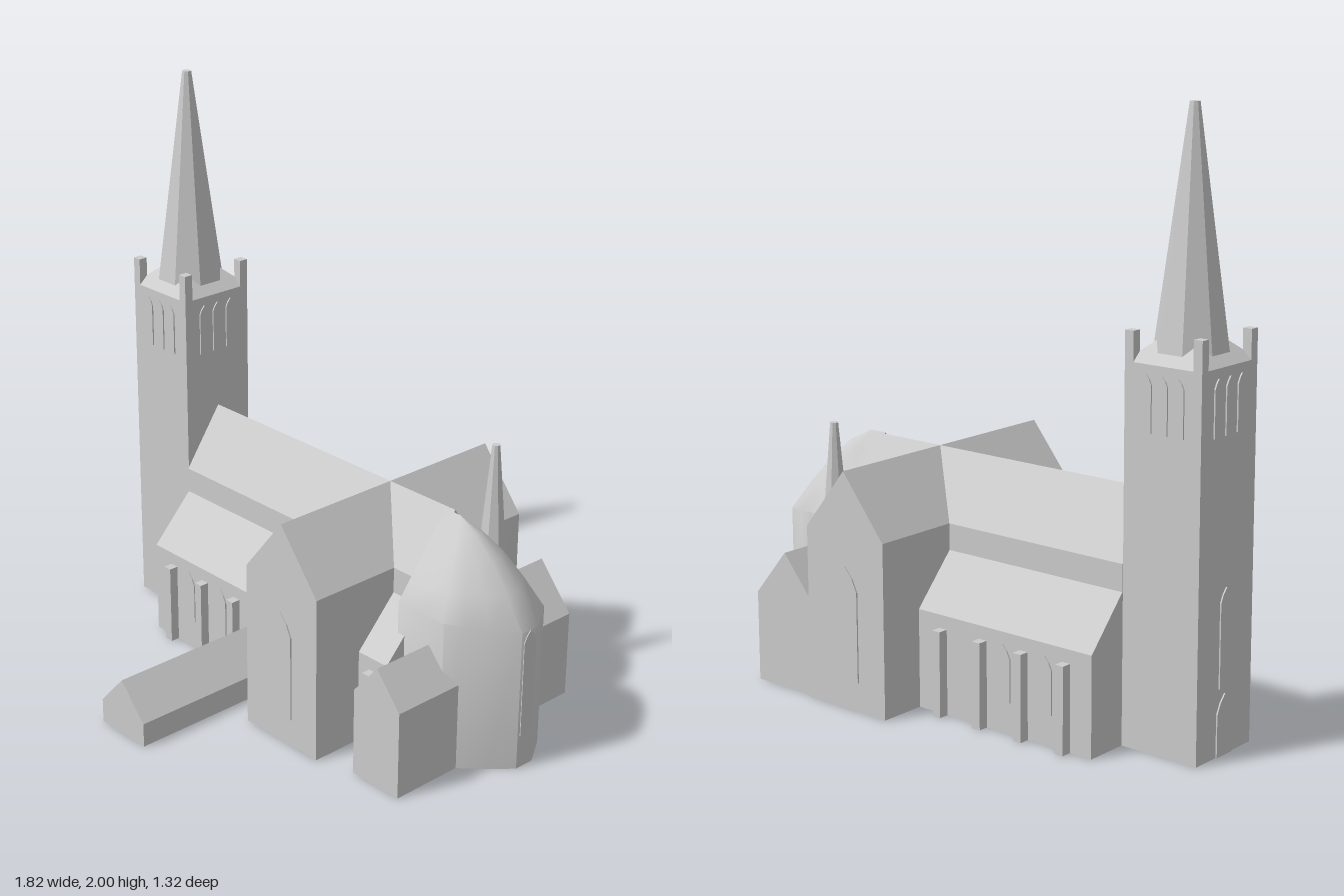
import * as THREE from 'three';
import { toCreasedNormals } from 'three/addons/utils/BufferGeometryUtils.js';

const stone = new THREE.MeshStandardMaterial({ color: 0xcccccc });
stone.name = 'pale stone';

const AXIS = -0.2; // z of the nave ridge

export function createModel() {
  const church = new THREE.Group();
  church.name = 'church';

  function add(name, geometry, x = 0, y = 0, z = 0, turn = 0) {
    const mesh = new THREE.Mesh(geometry, stone);
    mesh.name = name;
    mesh.position.set(x, y, z);
    mesh.rotation.y = turn;
    church.add(mesh);
    return mesh;
  }

  // Prism from an outline of [across, y] points
  function prism(points, depth) {
    const shape = new THREE.Shape(points.map(([u, y]) => new THREE.Vector2(u, y)));
    return new THREE.ExtrudeGeometry(shape, { depth, bevelEnabled: false });
  }
  const prismZ = (name, points, z0, z1) => add(name, prism(points, z1 - z0), 0, 0, z0);
  const prismX = (name, points, x0, x1) =>
    add(name, prism(points.map(([z, y]) => [-z, y]), x1 - x0), x0, 0, 0, Math.PI / 2);
  const gable = (a, b, eave, ridge) =>
    [[a, 0], [b, 0], [b, eave], [(a + b) / 2, ridge], [a, eave]];

  function box(name, x0, x1, y0, y1, z0, z1) {
    add(name, new THREE.BoxGeometry(x1 - x0, y1 - y0, z1 - z0),
      (x0 + x1) / 2, (y0 + y1) / 2, (z0 + z1) / 2);
  }

  // Thin pointed plate whose bottom centre is at (x, y, z)
  function lancet(name, w, h, x, y, z, turn) {
    const h2 = w / 2, s = h - w * 0.75;
    const outline = [[-h2, 0], [h2, 0], [h2, s], [h2 * 0.6, s + (h - s) * 0.55], [0, h],
      [-h2 * 0.6, s + (h - s) * 0.55], [-h2, s]];
    add(name, prism(outline, 0.005), x, y, z, turn);
  }

  // Eight-sided tapering spire with flat faces
  function spire(name, top, bottom, y0, y1, x, z) {
    const k = 1 / Math.cos(Math.PI / 8);
    const g = new THREE.CylinderGeometry(top * k, bottom * k, y1 - y0, 8).toNonIndexed();
    g.computeVertexNormals();
    add(name, g, x, (y0 + y1) / 2, z, Math.PI / 8);
  }

  // Nave, side aisles and transept
  prismX('nave', gable(-0.345, -0.055, 0.59, 0.8), -0.625, 0.56);
  prismX('frontAisle', [[0.1, 0], [0.1, 0.335], [-0.055, 0.5], [-0.055, 0]], -0.625, 0.56);
  prismX('backAisle', [[-0.495, 0], [-0.495, 0.335], [-0.345, 0.5], [-0.345, 0]], -0.625, 0.56);
  prismZ('transept', gable(0.09, 0.43, 0.59, 0.8), -0.66, 0.29);

  // Low gabled annexes
  prismZ('porch', gable(-0.235, -0.015, 0.085, 0.205), 0.09, 0.655);
  prismZ('chapel', gable(0.565, 0.77, 0.31, 0.43), -0.06, 0.25);
  prismZ('vestry', gable(0.42, 0.69, 0.31, 0.47), -0.645, -0.36);

  // Buttresses and windows along both aisles
  for (const x of [-0.525, -0.355, -0.185, -0.015]) {
    box('frontButtress', x - 0.016, x + 0.016, 0, 0.29, 0.09, 0.133);
    box('backButtress', x - 0.016, x + 0.016, 0, 0.29, -0.53, -0.48);
  }
  box('frontButtress', 0.48, 0.511, 0, 0.29, 0.09, 0.133);
  for (const x of [-0.44, -0.27]) {
    lancet('aisleWindow', 0.06, 0.19, x, 0.105, 0.1, 0);
    lancet('aisleWindow', 0.06, 0.19, x, 0.105, -0.495, Math.PI);
  }
  lancet('transeptWindow', 0.105, 0.385, 0.258, 0.1, 0.29, 0);
  lancet('transeptWindow', 0.105, 0.385, 0.258, 0.1, -0.66, Math.PI);

  // Tower with low pyramid roof, spire and corner pinnacles
  const tx = -0.7675, half = 0.1425;
  box('tower', tx - half, tx + half, 0, 1.225, AXIS - half, AXIS + half);
  const roof = new THREE.ConeGeometry(half * Math.SQRT2, 0.13, 4).toNonIndexed();
  roof.computeVertexNormals();
  add('towerRoof', roof, tx, 1.29, AXIS, Math.PI / 4);
  spire('spire', 0.015, 0.113, 1.225, 2, tx, AXIS);
  for (const sx of [-1, 1]) for (const sz of [-1, 1]) {
    const px = tx + sx * (half - 0.016), pz = AXIS + sz * (half - 0.016);
    box('pinnacle', px - 0.016, px + 0.016, 1.22, 1.32, pz - 0.016, pz + 0.016);
  }

  // Three belfry openings on each tower face
  for (let side = 0; side < 4; side++) {
    const a = side * Math.PI / 2;
    for (const o of [-0.06, 0, 0.06]) {
      lancet('belfryWindow', 0.04, 0.18,
        tx + Math.sin(a) * half + Math.cos(a) * o, 1.015,
        AXIS + Math.cos(a) * half - Math.sin(a) * o, a);
    }
  }
  lancet('towerDoor', 0.08, 0.2, tx - half, 0, AXIS, -Math.PI / 2);
  lancet('towerWindow', 0.06, 0.32, tx - half, 0.22, AXIS, -Math.PI / 2);

  // Stair turret beside the transept
  spire('turret', 0.013, 0.064, 0.3, 0.905, 0.452, -0.505);

  // Apse: walls and rounded roof lofted from its plan to a short ridge
  const mid = -0.183;
  // plan x, plan z, eave height, roof bulge
  const plan = [[0.53, 0.022, 0.53, 0], [0.62, 0.022, 0.53, 0.1], [0.73, 0.018, 0.53, 0.4],
    [0.785, -0.03, 0.52, 0.7], [0.84, -0.085, 0.51, 0.9], [0.905, -0.16, 0.5, 1],
    [0.905, -0.235, 0.5, 1], [0.84, -0.335, 0.51, 0.9], [0.765, -0.365, 0.52, 0.7],
    [0.69, -0.387, 0.53, 0.4], [0.62, -0.388, 0.53, 0.1], [0.53, -0.388, 0.53, 0]];
  const roofSteps = [[0.25, 0.1], [0.5, 0.15], [0.75, 0.11], [1, 0]];
  const rows = plan.length, positions = [], index = [];
  for (const [x, z, eave, bulge] of plan) {
    const rx = Math.min(x, 0.6);
    positions.push(rx, 0, mid, x, 0, z, x, eave, z);
    for (const [t, lift] of roofSteps) {
      positions.push(x + (rx - x) * t, eave + (0.8 - eave) * (t + lift * bulge), z + (mid - z) * t);
    }
  }
  const per = 3 + roofSteps.length;
  for (let i = 0; i < rows; i++) {
    for (let k = 0; k < per - 1; k++) {
      const a = i * per + k, b = ((i + 1) % rows) * per + k;
      index.push(a, b, b + 1, a, b + 1, a + 1);
    }
  }
  const apse = new THREE.BufferGeometry();
  apse.setAttribute('position', new THREE.Float32BufferAttribute(positions, 3));
  apse.setIndex(index);
  add('apse', toCreasedNormals(apse, 0.65));
  lancet('apseWindow', 0.055, 0.38, 0.903, 0.12, -0.1975, Math.PI / 2);

  return church;
}
